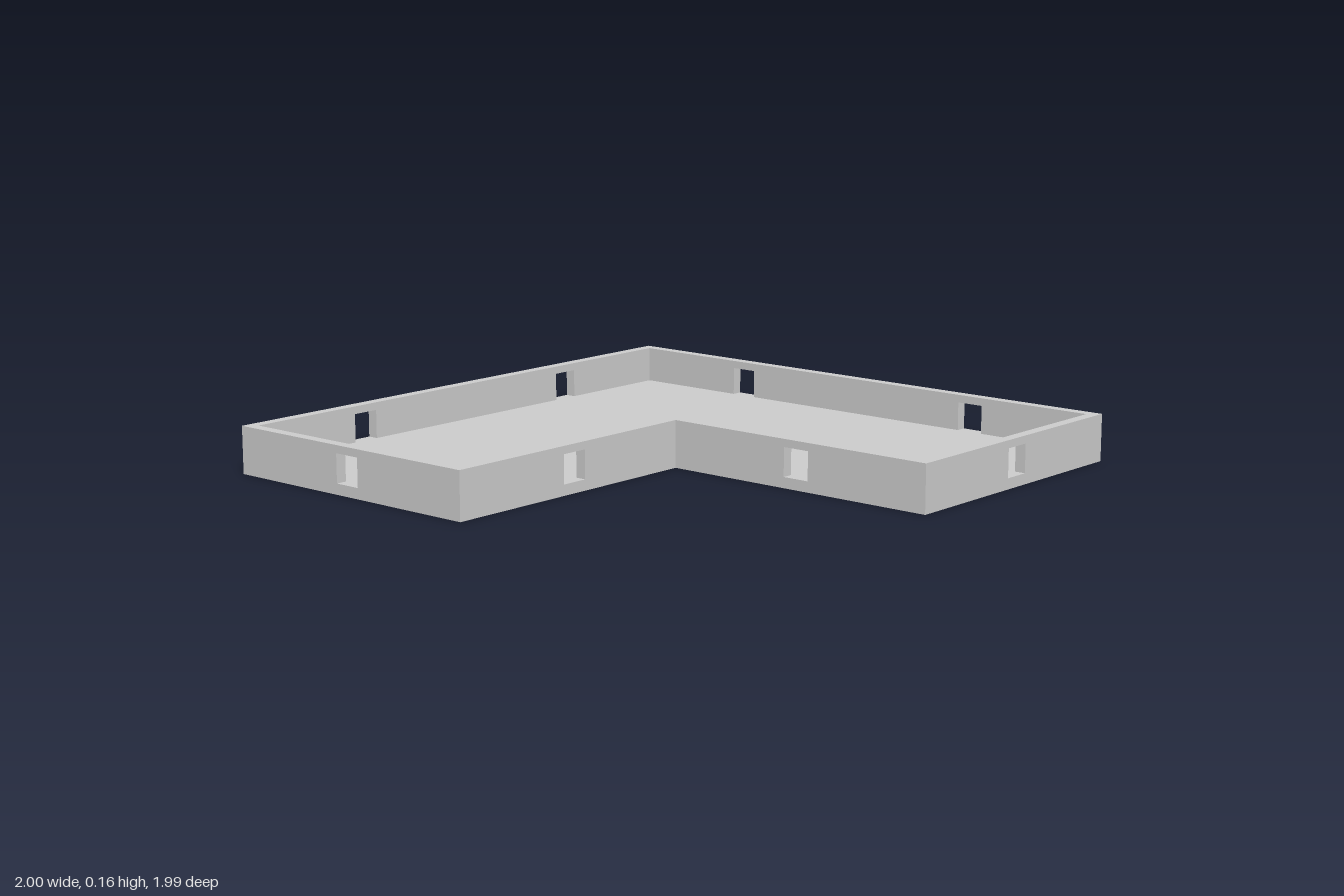
import * as THREE from 'three';

const HEIGHT = 0.16, WALL = 0.0375, FLOOR = 0.0365;
const WINDOW = { width: 0.096, bottom: 0.0365, top: 0.1335 };
const WINDOW_X = [-0.5, 0.5], WINDOW_Z = [-0.49, 0.49];

// L-shaped plan as [x, z] corners, walked left to right as seen from outside
const PLAN = [[-1, 0.9925], [0, 0.9925], [0, 0.006], [1, 0.006], [1, -0.9925], [-1, -0.9925]]
  .map(([x, z]) => new THREE.Vector2(x, z));
// +1 for an outward corner, -1 for the inward one
const TURN = [1, 1, -1, 1, 1, 1];

function rectangle(Type, x0, y0, x1, y1) {
  const r = new Type();
  r.moveTo(x0, y0).lineTo(x1, y0).lineTo(x1, y1).lineTo(x0, y1).closePath();
  return r;
}

// Upright panel with square windows and mitred ends
function wallGeometry(length, windows, startTurn, endTurn) {
  const shape = rectangle(THREE.Shape, 0, 0, length, HEIGHT);
  const half = WINDOW.width / 2;
  for (const c of windows) {
    shape.holes.push(rectangle(THREE.Path, c - half, WINDOW.bottom, c + half, WINDOW.top));
  }
  const geometry = new THREE.ExtrudeGeometry(shape, { depth: WALL, bevelEnabled: false });
  geometry.translate(0, 0, -WALL);
  const pos = geometry.attributes.position;
  for (let i = 0; i < pos.count; i++) {
    if (pos.getZ(i) > -WALL / 2) continue;
    const x = pos.getX(i);
    if (x < 1e-4) pos.setX(i, x + WALL * startTurn);
    else if (x > length - 1e-4) pos.setX(i, x - WALL * endTurn);
  }
  geometry.computeVertexNormals();
  return geometry;
}

export function createModel() {
  const model = new THREE.Group();
  model.name = 'walledPlatform';
  const material = new THREE.MeshStandardMaterial({ color: 0xcccccc, flatShading: true });
  const names = ['frontWall', 'innerSideWall', 'innerFrontWall', 'leftWall', 'backWall', 'rightWall'];
  const inner = [];

  PLAN.forEach((a, i) => {
    const next = (i + 1) % PLAN.length;
    const b = PLAN[next];
    const dir = b.clone().sub(a);
    const length = dir.length();
    dir.normalize();

    // Windows whose centre falls along this wall
    const alongX = Math.abs(dir.x) > 0.5;
    const windows = (alongX ? WINDOW_X : WINDOW_Z)
      .map((c) => (alongX ? (c - a.x) * dir.x : (c - a.y) * dir.y))
      .filter((d) => d > 0 && d < length);

    const wall = new THREE.Mesh(wallGeometry(length, windows, TURN[i], TURN[next]), material);
    wall.name = names[i];
    wall.position.set(a.x, 0, a.y);
    wall.rotation.y = Math.atan2(-dir.y, dir.x);
    model.add(wall);

    // Inside corner of the plan, in floor-shape coordinates
    const inward = new THREE.Vector2(dir.y, -dir.x);
    const corner = a.clone().addScaledVector(inward, WALL).addScaledVector(dir, WALL * TURN[i]);
    inner.push(new THREE.Vector2(corner.x, -corner.y));
  });

  // Floor slab filling the space between the walls
  const slab = new THREE.ExtrudeGeometry(new THREE.Shape(inner), { depth: FLOOR, bevelEnabled: false });
  slab.rotateX(-Math.PI / 2);
  const floor = new THREE.Mesh(slab, material);
  floor.name = 'floor';
  model.add(floor);

  return model;
}
